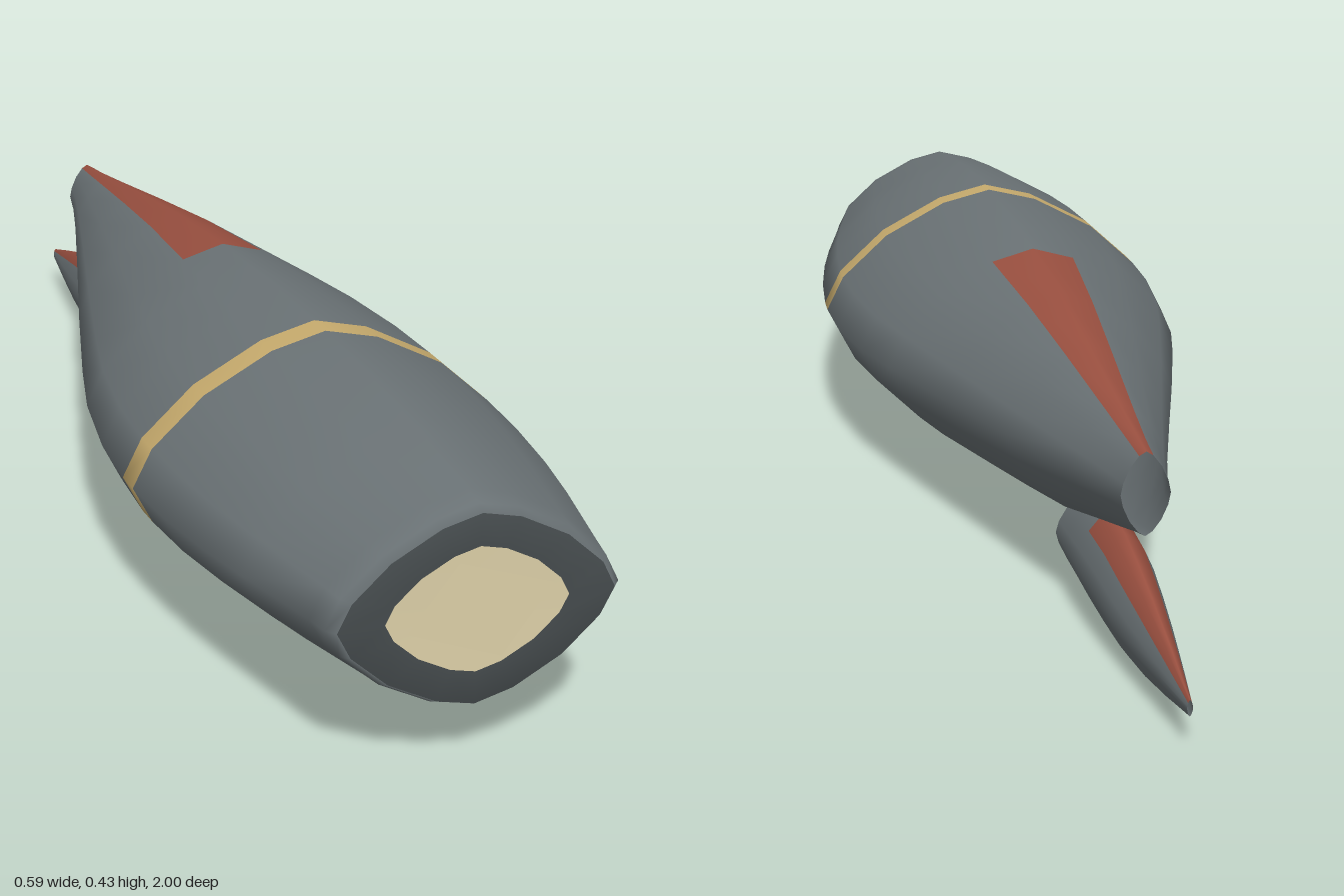
import * as THREE from 'three';

const mat = (name, color) =>
  Object.assign(new THREE.MeshStandardMaterial({ color, side: THREE.DoubleSide }), { name });

const SIDES = 16;
const bend = (v) => Math.sign(v) * Math.pow(Math.abs(v), 1.32);

// Loft of soft-diamond sections, stations are [z, half width, bottom y, top y], front to back.
// pick(z, i) gives the material index of the face at that middle z and side number.
function loft(name, stations, materials, pick) {
  const pos = [];
  for (const [z, w, y0, y1] of stations) {
    for (let i = 0; i < SIDES; i++) {
      const a = (i / SIDES) * Math.PI * 2;
      pos.push(w * bend(Math.sin(a)), (y0 + y1) / 2 + ((y1 - y0) / 2) * bend(Math.cos(a)), z);
    }
  }
  const buckets = materials.map(() => []);
  for (let k = 0; k < stations.length - 1; k++) {
    for (let i = 0; i < SIDES; i++) {
      const j = (i + 1) % SIDES;
      const a = k * SIDES + i, b = k * SIDES + j, c = a + SIDES, d = b + SIDES;
      buckets[pick((stations[k][0] + stations[k + 1][0]) / 2, i, k)].push(a, b, c, b, d, c);
    }
  }
  const geo = new THREE.BufferGeometry();
  geo.setAttribute('position', new THREE.Float32BufferAttribute(pos, 3));
  geo.setIndex(buckets.flat());
  let start = 0;
  buckets.forEach((list, m) => {
    geo.addGroup(start, list.length, m);
    start += list.length;
  });
  geo.computeVertexNormals();
  const mesh = new THREE.Mesh(geo, materials);
  mesh.name = name;
  return mesh;
}

export function createModel() {
  const grey = mat('hullGrey', 0x6b7376);
  const dark = mat('noseDarkGrey', 0x454b4d);
  const gold = mat('bandGold', 0xc8ac6e);
  const red = mat('stripeRed', 0x9a5040);
  const cream = mat('lampCream', 0xddd0a8);
  const group = new THREE.Group();

  // Main hull with its nose face, gold band and red spine stripe; the tail end is open
  const hull = [
    [0.996, 0, 0.243, 0.243],
    [0.997, 0.13, 0.152, 0.333],
    [0.998, 0.196, 0.105, 0.38],
    [0.985, 0.208, 0.098, 0.388],
    [0.95, 0.215, 0.092, 0.393],
    [0.8, 0.25, 0.063, 0.411],
    [0.7, 0.27, 0.045, 0.42],
    [0.58, 0.287, 0.028, 0.427],
    [0.465, 0.296, 0.018, 0.43],
    [0.42, 0.297, 0.015, 0.43],
    [0.3, 0.292, 0.014, 0.429],
    [0.15, 0.271, 0.022, 0.424],
    [0.02, 0.24, 0.036, 0.417],
    [-0.2, 0.181, 0.068, 0.398],
    [-0.4, 0.125, 0.107, 0.372],
    [-0.6, 0.07, 0.16, 0.343],
    [-0.7, 0.045, 0.188, 0.329],
    [-0.755, 0.035, 0.202, 0.323],
  ];
  group.add(loft('hull', hull, [grey, dark, gold, red, cream], (z, i, k) => {
    if (k === 0) return 4;
    if (k === 1) return 1;
    if (z > 0.42 && z < 0.465) return 2;
    return z < 0.02 && (i === 0 || i === SIDES - 1) ? 3 : 0;
  }));

  // Four-pointed lamp in the middle of the nose
  const points = [[-0.03, 0.315], [0.105, 0.265], [0.035, 0.17], [-0.1, 0.225]];
  const lamp = new THREE.Mesh(
    new THREE.ShapeGeometry(new THREE.Shape(points.map(([x, y]) => new THREE.Vector2(x, y)))), cream);
  lamp.position.z = 1;
  lamp.name = 'noseLamp';
  group.add(lamp);

  // Lower tail boom, open at the front, with a red back
  const boom = [
    [-0.395, 0.048, 0.016, 0.14],
    [-0.47, 0.051, 0.011, 0.155],
    [-0.55, 0.051, 0.007, 0.165],
    [-0.64, 0.047, 0.003, 0.163],
    [-0.72, 0.04, 0.002, 0.147],
    [-0.8, 0.031, 0.01, 0.128],
    [-0.9, 0.018, 0.027, 0.1],
    [-1, 0.004, 0.047, 0.07],
  ];
  group.add(loft('tailBoom', boom, [grey, red],
    (z, i) => (z < -0.55 && (i < 2 || i >= SIDES - 2) ? 1 : 0)));

  return group;
}
